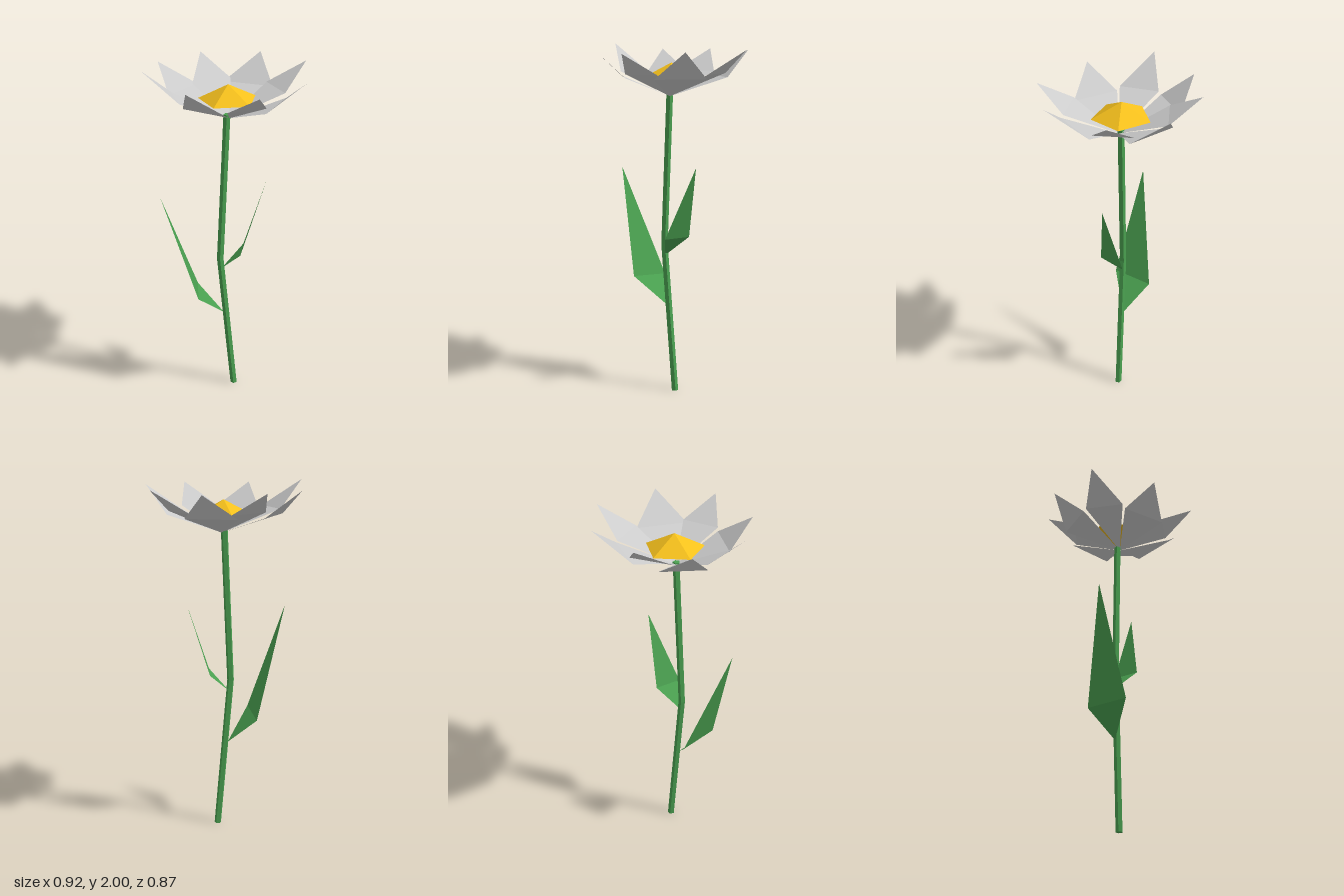
import * as THREE from 'three';

const material = (color) => new THREE.MeshStandardMaterial({ color, flatShading: true, side: THREE.DoubleSide });

// Folded kite: a triangle from the base to both corners, and one from the corners to the tip
function foldedBlade(name, mat, base, cornerA, cornerB, tip) {
  const geometry = new THREE.BufferGeometry();
  const points = [base, cornerA, cornerB, cornerA, tip, cornerB].flat();
  geometry.setAttribute('position', new THREE.Float32BufferAttribute(points, 3));
  geometry.computeVertexNormals();
  const mesh = new THREE.Mesh(geometry, mat);
  mesh.name = name;
  return mesh;
}

export function createModel() {
  const group = new THREE.Group();
  const green = material(0x4aa050);
  const grey = material(0xcccccc);
  const yellow = material(0xf5c01c);

  // Five-sided stem with one bend
  const stemGeometry = new THREE.CylinderGeometry(0.02, 0.02, 1.74, 5, 2);
  stemGeometry.rotateY(THREE.MathUtils.degToRad(54));
  stemGeometry.translate(0, 0.87, -0.01);
  const bend = [0.033, -0.048, -0.008];
  const pos = stemGeometry.attributes.position;
  for (let i = 0; i < pos.count; i++) {
    pos.setX(i, pos.getX(i) + bend[Math.round(pos.getY(i) / 0.87)]);
  }
  const stem = new THREE.Mesh(stemGeometry, green);
  stem.name = 'stem';
  group.add(stem);

  // Leaves
  group.add(foldedBlade('rightLeaf', green,
    [-0.025, 0.5, -0.02], [-0.2, 0.67, 0.085], [-0.155, 0.65, -0.14], [-0.385, 1.285, -0.02]));
  group.add(foldedBlade('leftLeaf', green,
    [-0.04, 0.805, -0.01], [0.045, 0.925, 0.09], [0.1, 0.925, -0.055], [0.21, 1.34, 0.02]));

  // Petals: tip, then the x and z of both corners and their height
  const petals = new THREE.Group();
  petals.name = 'petals';
  const base = [0.003, 1.72, 0];
  const outer = [
    [[0.27, 1.97, -0.36], 0.285, -0.155, 0.045, -0.31],
    [[0.345, 1.975, 0.275], 0.305, 0.05, 0.13, 0.275],
    [[-0.29, 1.965, 0.28], -0.27, 0.1, -0.075, 0.277],
    [[-0.325, 1.965, -0.315], -0.3, -0.14, -0.11, -0.305],
  ];
  const inner = [
    [[-0.06, 1.97, -0.435], -0.15, -0.235, 0.08, -0.295],
    [[0.455, 1.98, -0.095], 0.255, -0.175, 0.3, 0.04],
    [[0.05, 1.965, 0.435], 0.138, 0.255, -0.075, 0.277],
    [[-0.46, 2.0, -0.05], -0.285, 0.09, -0.29, -0.13],
  ];
  for (const [name, set, y] of [['outerPetal', outer, 1.828], ['innerPetal', inner, 1.85]]) {
    for (const [tip, ax, az, bx, bz] of set) {
      petals.add(foldedBlade(name, grey, base, [ax, y, az], [bx, y, bz], tip));
    }
  }
  group.add(petals);

  // Pointed flower centre
  const centre = new THREE.Mesh(new THREE.ConeGeometry(0.164, 0.085, 5), yellow);
  centre.name = 'flowerCentre';
  centre.rotation.y = 0.537;
  centre.position.set(0, 1.862, -0.017);
  group.add(centre);

  return group;
}
